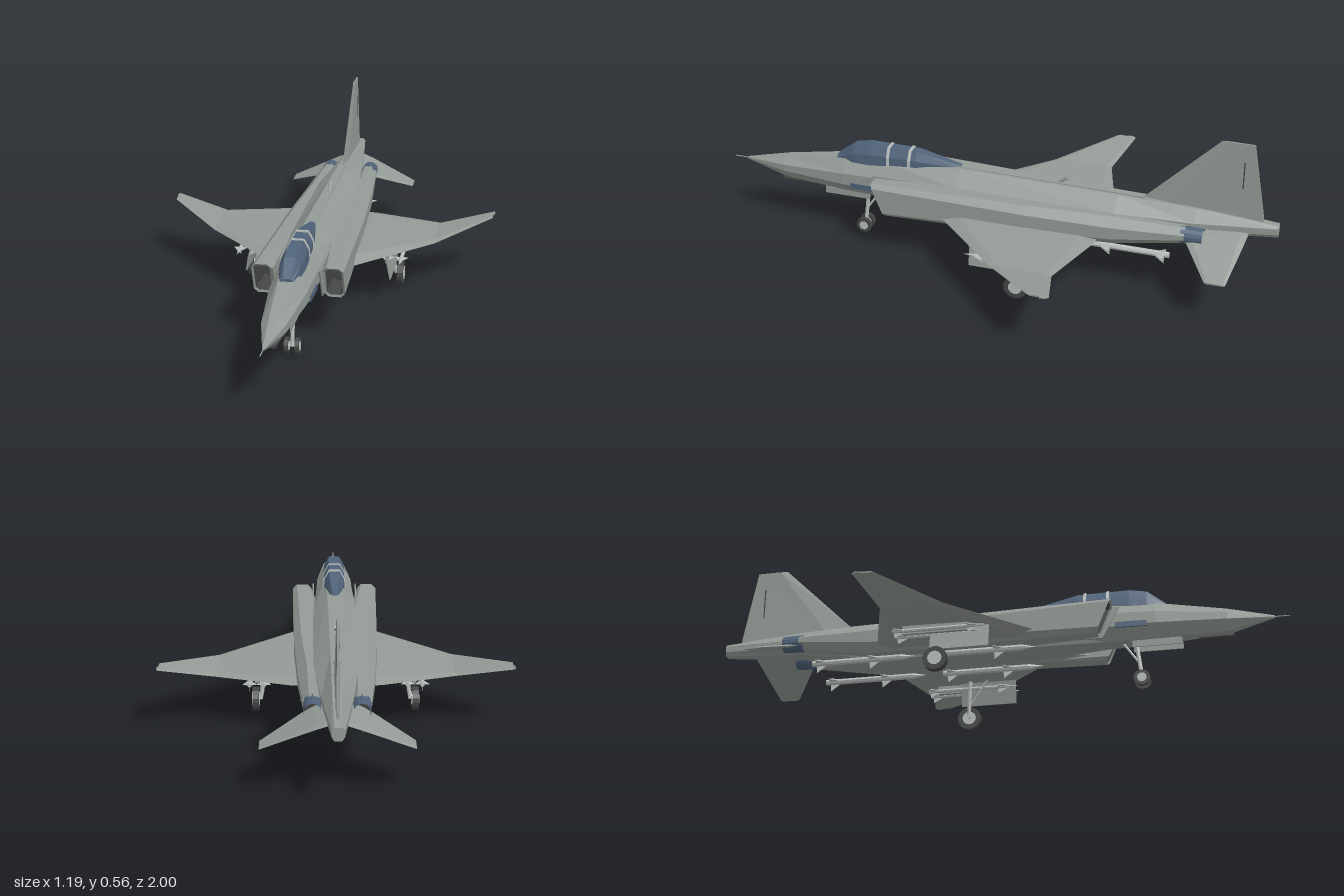
import * as THREE from 'three';

const mat = (name, color, side = THREE.FrontSide) => {
  const m = new THREE.MeshStandardMaterial({ color, side, flatShading: true });
  m.name = name;
  return m;
};

export function createModel() {
  const jet = new THREE.Group();
  jet.name = 'jet';
  const grey = mat('airframe grey', 0x949b96);
  const blue = mat('canopy blue', 0x50637a, THREE.DoubleSide);
  const dark = mat('dark rubber', 0x444645, THREE.DoubleSide);
  const pale = mat('pale grey', 0xb9bebb);

  const add = (name, geo, material, pos = [0, 0, 0], parent = jet) => {
    const m = new THREE.Mesh(geo, material);
    m.name = name;
    m.position.set(...pos);
    parent.add(m);
    return m;
  };

  // Skin over a row of equal-sized point rings, faces turned outward
  function loft(rings, capStart = true, capEnd = true) {
    const n = rings[0].length, tris = [];
    for (let i = 0; i < rings.length - 1; i++)
      for (let j = 0; j < n; j++) {
        const k = (j + 1) % n, A = rings[i], B = rings[i + 1];
        tris.push([A[j], B[j], A[k]], [A[k], B[j], B[k]]);
      }
    const last = rings[rings.length - 1];
    for (let j = 1; j < n - 1; j++) {
      if (capStart) tris.push([rings[0][0], rings[0][j], rings[0][j + 1]]);
      if (capEnd) tris.push([last[0], last[j + 1], last[j]]);
    }
    const all = rings.flat(), c = [0, 1, 2].map(k => all.reduce((s, p) => s + p[k], 0) / all.length);
    const centre = new THREE.Vector3(...c);
    let volume = 0;
    for (const t of tris) {
      const [a, b, d] = t.map(p => new THREE.Vector3(...p).sub(centre));
      volume += a.dot(b.cross(d));
    }
    if (volume < 0) tris.forEach(t => t.reverse());
    const g = new THREE.BufferGeometry();
    g.setAttribute('position', new THREE.Float32BufferAttribute(tris.flat(2), 3));
    g.computeVertexNormals();
    return g;
  }

  const rod = (name, a, b, r, material = pale, sides = 8) => {
    const p = new THREE.Vector3(...a), q = new THREE.Vector3(...b), d = q.clone().sub(p);
    const m = add(name, new THREE.CylinderGeometry(r, r, d.length(), sides), material);
    m.position.copy(p).add(q).multiplyScalar(0.5);
    m.quaternion.setFromUnitVectors(new THREE.Vector3(0, 1, 0), d.normalize());
    return m;
  };

  // Fuselage: z, top y, top half-width, shoulder y, waist y, half-width, bottom y, bottom half-width
  const body = [
    [0.95, 0.227, 0.003, 0.225, 0.223, 0.004, 0.22, 0.003],
    [0.79, 0.262, 0.014, 0.238, 0.213, 0.04, 0.178, 0.015],
    [0.55, 0.298, 0.03, 0.252, 0.21, 0.063, 0.167, 0.028],
    [0.38, 0.304, 0.035, 0.257, 0.205, 0.067, 0.165, 0.032],
    [0.12, 0.322, 0.026, 0.272, 0.2, 0.078, 0.155, 0.06],
    [-0.45, 0.312, 0.02, 0.268, 0.2, 0.075, 0.153, 0.06],
    [-0.72, 0.303, 0.017, 0.262, 0.235, 0.05, 0.215, 0.025],
    [-1, 0.28, 0.012, 0.272, 0.25, 0.02, 0.237, 0.012],
  ].map(([z, yt, wt, y1, y2, w, yb, wb]) => [
    [wt, yt, z], [-wt, yt, z], [-w, y1, z], [-w, y2, z],
    [-wb, yb, z], [wb, yb, z], [w, y2, z], [w, y1, z]]);
  add('fuselage', loft(body), grey);
  rod('noseProbe', [0, 0.224, 0.94], [0, 0.224, 1], 0.002, grey, 6);
  add('chinPlate', new THREE.BoxGeometry(0.02, 0.008, 0.12), dark, [0, 0.167, 0.75]);

  // Canopy with pale frames
  const hood = (z, w, y0, y1) => [[w, y0, z], [w * 0.92, y0 + (y1 - y0) * 0.55, z], [w * 0.5, y1, z],
    [-w * 0.5, y1, z], [-w * 0.92, y0 + (y1 - y0) * 0.55, z], [-w, y0, z]];
  add('canopy', loft([hood(0.585, 0.024, 0.285, 0.302), hood(0.52, 0.038, 0.29, 0.35), hood(0.46, 0.041, 0.29, 0.36),
    hood(0.28, 0.038, 0.295, 0.358), hood(0.12, 0.015, 0.305, 0.326)]), blue);
  for (const z of [0.39, 0.31])
    add('canopyFrame', loft([hood(z, 0.042, 0.29, 0.3625), hood(z - 0.01, 0.042, 0.29, 0.3625)]), pale);

  // Spine strip, aerial and fin
  add('spineStrip', loft([[0.14, 0.324], [-0.54, 0.314]].map(([z, y]) =>
    [[0.013, y, z], [-0.013, y, z], [-0.013, y - 0.02, z], [0.013, y - 0.02, z]])), grey);
  rod('aerial', [0, 0.312, -0.23], [0, 0.338, -0.265], 0.006, grey, 6);
  const finRing = (y, zf, zb, t) => [[0, y, zf], [t, y, zf - (zf - zb) * 0.25], [t * 0.6, y, zb],
    [-t * 0.6, y, zb], [-t, y, zf - (zf - zb) * 0.25]];
  add('tailFin', loft([finRing(0.285, -0.51, -0.947, 0.01), finRing(0.305, -0.53, -0.945, 0.009),
    finRing(0.562, -0.79, -0.9, 0.004)]), grey);
  add('finTrim', new THREE.BoxGeometry(0.015, 0.15, 0.004), dark, [0, 0.42, -0.87]).scale.x = 0.7;

  // Flat aerofoil section at x: leading z, trailing z, middle y, half thickness
  const foil = (x, zf, zb, y, t) => {
    const at = f => zf + (zb - zf) * f;
    return [[x, y, zf], [x, y + t, at(0.12)], [x, y + t * 0.7, at(0.9)],
      [x, y, zb], [x, y - t * 0.7, at(0.9)], [x, y - t, at(0.12)]];
  };

  // Slim missile with crossed fins
  function missile(name, x, y, z0, z1, r, span, finZ) {
    const g = new THREE.Group();
    g.name = name;
    jet.add(g);
    const len = z0 - z1 - 0.05;
    add('missileBody', new THREE.CylinderGeometry(r, r, len, 8).rotateX(Math.PI / 2), pale, [x, y, z1 + len / 2], g);
    add('missileNose', new THREE.ConeGeometry(r, 0.05, 8).rotateX(Math.PI / 2), pale, [x, y, z0 - 0.025], g);
    for (const z of finZ) {
      const flat = h => [[x - span, y + h, z - 0.022], [x, y + h, z + 0.025], [x + span, y + h, z - 0.022], [x, y + h, z - 0.025]];
      const up = h => [[x + h, y - span, z - 0.022], [x + h, y, z + 0.025], [x + h, y + span * 0.5, z - 0.022], [x + h, y, z - 0.025]];
      for (const f of [flat, up]) add('missileFin', loft([f(-0.001), f(0.001)]), pale, [0, 0, 0], g);
    }
  }

  function wheel(name, x, y, z, r, w) {
    const turn = g => g.rotateZ(Math.PI / 2);
    add(name + 'Tyre', turn(new THREE.CylinderGeometry(r, r, w, 18)), dark, [x, y, z]);
    add(name + 'Hub', turn(new THREE.CylinderGeometry(r * 0.58, r * 0.58, w + 0.004, 14)), pale, [x, y, z]);
  }

  for (const s of [1, -1]) {
    const side = s > 0 ? 'left' : 'right';
    const flip = rings => rings.map(r => r.map(([x, y, z]) => [s * x, y, z]));

    // Intake trunk: bevelled box sections with a raked mouth
    const box = (z, x0, x1, y0, y1, b, rake = 0) => [
      [x0 + b, y0], [x1 - b, y0], [x1, y0 + b], [x1, y1 - b], [x1 - b, y1], [x0 + b, y1], [x0, y1 - b], [x0, y0 + b],
    ].map(([x, y]) => [x, y, z - rake * (0.275 - y) / 0.12]);
    const mouth = box(0.405, 0.093, 0.147, 0.163, 0.267, 0.01, 0.05);
    add(side + 'IntakeTrunk', loft(flip([mouth, box(0.41, 0.085, 0.154, 0.155, 0.275, 0.014, 0.05),
      box(0.12, 0.05, 0.148, 0.155, 0.273, 0.02), box(-0.15, 0.04, 0.142, 0.155, 0.27, 0.025),
      box(-0.45, 0.04, 0.126, 0.165, 0.268, 0.03), box(-0.7, 0.045, 0.108, 0.205, 0.262, 0.02)]), false), grey);
    add(side + 'IntakeDuct', loft(flip([mouth, box(0.25, 0.095, 0.138, 0.17, 0.26, 0.01)]), false), dark);
    const plate = x => [[x, 0.16, 0.37], [x, 0.272, 0.43], [x, 0.272, 0.2], [x, 0.16, 0.2]];
    add(side + 'SplitterPlate', loft(flip([plate(0.076), plate(0.081)])), grey);
    add(side + 'NoseVent', loft(flip([[0.067, 0.52], [0.07, 0.41]].map(([x, z]) =>
      [[x, 0.2, z], [x, 0.22, z], [x - 0.006, 0.22, z], [x - 0.006, 0.2, z]]))), blue);

    // Exhaust nozzle
    add(side + 'Nozzle', new THREE.CylinderGeometry(0.031, 0.028, 0.075, 14, 1, true).rotateX(Math.PI / 2), blue,
      [s * 0.077, 0.232, -0.723]);
    add(side + 'NozzleCore', new THREE.CircleGeometry(0.03, 14), dark, [s * 0.077, 0.232, -0.715]);

    // Wing with upturned outer panel, and drooped tailplane
    add(side + 'Wing', loft(flip([foil(0.05, 0.24, -0.41, 0.182, 0.019), foil(0.15, 0.14, -0.4, 0.182, 0.018),
      foil(0.4, -0.11, -0.325, 0.185, 0.007), foil(0.59, -0.3, -0.37, 0.224, 0.003)])), grey);
    rod(side + 'TipLight', [s * 0.592, 0.224, -0.34], [s * 0.592, 0.224, -0.36], 0.004, grey, 6);
    add(side + 'Tailplane', loft(flip([foil(0.03, -0.655, -0.905, 0.245, 0.006), foil(0.07, -0.685, -0.9, 0.23, 0.006),
      foil(0.24, -0.8, -0.87, 0.155, 0.003)])), grey);

    // Stores
    missile(side + 'FrontMissile', s * 0.085, 0.146, 0.14, -0.22, 0.011, 0.035, [0.02, -0.18]);
    missile(side + 'RearMissile', s * 0.085, 0.146, -0.28, -0.65, 0.011, 0.035, [-0.42, -0.61]);
    for (const x of [0.242, 0.29]) missile(side + 'WingMissile', s * x, 0.147, 0.02, -0.31, 0.007, 0.024, [-0.03, -0.28]);
    add(side + 'Pylon', new THREE.BoxGeometry(0.012, 0.04, 0.22), grey, [s * 0.266, 0.163, -0.17]);

    // Main gear
    rod(side + 'MainStrut', [s * 0.235, 0.175, -0.155], [s * 0.258, 0.045, -0.165], 0.007);
    rod(side + 'MainBrace', [s * 0.225, 0.17, -0.09], [s * 0.252, 0.08, -0.162], 0.004);
    rod(side + 'MainAxle', [s * 0.252, 0.045, -0.165], [s * 0.28, 0.045, -0.165], 0.006);
    wheel(side + 'MainWheel', s * 0.275, 0.043, -0.165, 0.042, 0.022);
    add(side + 'MainDoor', new THREE.BoxGeometry(0.005, 0.085, 0.2), grey, [s * 0.25, 0.127, -0.09]).rotation.z = s * 0.19;

    // Nose wheels and doors
    wheel(side + 'NoseWheel', s * 0.018, 0.029, 0.492, 0.028, 0.013);
    add(side + 'NoseDoor', new THREE.BoxGeometry(0.004, 0.025, 0.17), grey, [s * 0.022, 0.155, 0.55]);
  }

  // Nose gear leg
  rod('noseStrut', [0, 0.03, 0.492], [0, 0.175, 0.475], 0.007);
  rod('noseBrace', [0, 0.09, 0.485], [0, 0.17, 0.43], 0.004);
  rod('noseAxle', [-0.02, 0.029, 0.492], [0.02, 0.029, 0.492], 0.005);
  return jet;
}
